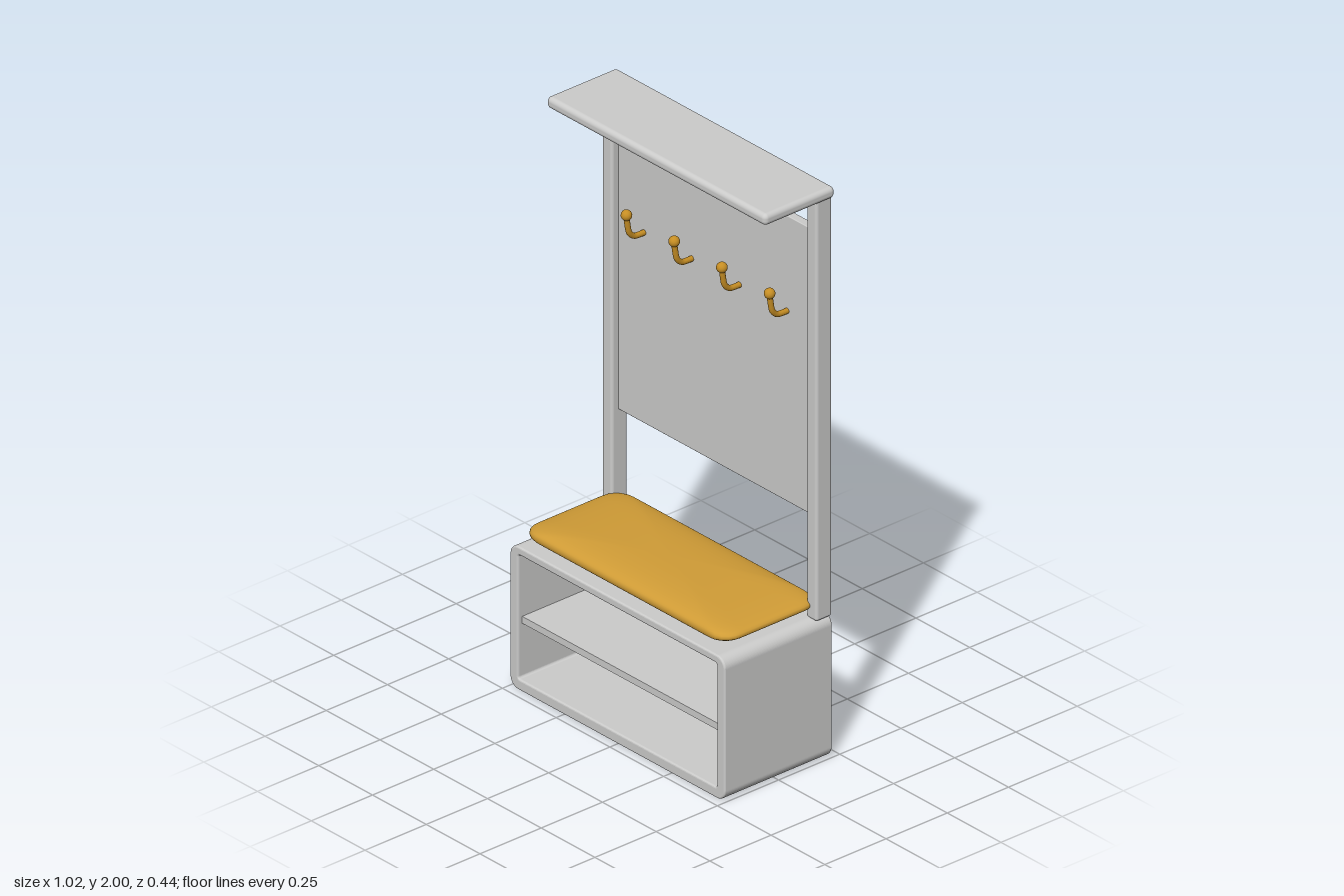
import * as THREE from 'three';
import { RoundedBoxGeometry } from 'three/addons/geometries/RoundedBoxGeometry.js';

const grey = new THREE.MeshStandardMaterial({ name: 'paintedGrey', color: 0xcccccb });
const ochre = new THREE.MeshStandardMaterial({ name: 'ochreFabric', color: 0xd09c36 });
const brass = new THREE.MeshStandardMaterial({ name: 'brass', color: 0xc68e24 });

function roundRect(path, x0, y0, x1, y1, r) {
  path.moveTo(x0 + r, y0);
  path.lineTo(x1 - r, y0);
  path.absarc(x1 - r, y0 + r, r, -Math.PI / 2, 0);
  path.lineTo(x1, y1 - r);
  path.absarc(x1 - r, y1 - r, r, 0, Math.PI / 2);
  path.lineTo(x0 + r, y1);
  path.absarc(x0 + r, y1 - r, r, Math.PI / 2, Math.PI);
  path.lineTo(x0, y0 + r);
  path.absarc(x0 + r, y0 + r, r, Math.PI, Math.PI * 1.5);
  return path;
}

// Pillow: rounded-rectangle rings that shrink towards the top and bottom
function cushionGeometry(hx, hy, hz, corner) {
  const outline = roundRect(new THREE.Path(), -hx, -hz, hx, hz, corner).getSpacedPoints(120);
  const n = outline.length - 1, rings = 28, pos = [], idx = [];
  for (let i = 0; i <= rings; i++) {
    const a = -Math.PI / 2 + (Math.PI * i) / rings;
    const s = Math.pow(Math.max(Math.cos(a), 0), 0.8);
    const y = hy * Math.sign(a) * Math.pow(Math.abs(Math.sin(a)), 0.8);
    for (let j = 0; j < n; j++) pos.push(outline[j].x * s, y, -outline[j].y * s);
  }
  for (let i = 0; i < rings; i++) {
    for (let j = 0; j < n; j++) {
      const k = (j + 1) % n;
      const a = i * n + j, b = i * n + k, c = a + n, d = b + n;
      idx.push(a, b, d, a, d, c);
    }
  }
  const g = new THREE.BufferGeometry();
  g.setAttribute('position', new THREE.Float32BufferAttribute(pos, 3));
  g.setIndex(idx);
  g.computeVertexNormals();
  return g;
}

export function createModel() {
  const group = new THREE.Group();
  group.name = 'hallBench';
  const add = (name, geometry, material, x = 0, y = 0, z = 0, parent = group) => {
    const mesh = new THREE.Mesh(geometry, material);
    mesh.name = name;
    mesh.position.set(x, y, z);
    parent.add(mesh);
    return mesh;
  };

  // Bench carcass: rounded frame open to the front
  const bevel = 0.006;
  const frame = roundRect(new THREE.Shape(), -0.5 + bevel, bevel, 0.5 - bevel, 0.5 - bevel, 0.032);
  frame.holes.push(roundRect(new THREE.Path(), -0.468, 0.032, 0.468, 0.478, 0.014));
  const carcass = new THREE.ExtrudeGeometry(frame, {
    depth: 0.44 - 2 * bevel, bevelThickness: bevel, bevelSize: bevel, bevelSegments: 3, curveSegments: 8,
  });
  add('benchFrame', carcass, grey, 0, 0, -0.22 + bevel);
  add('benchBack', new THREE.BoxGeometry(0.938, 0.45, 0.015), grey, 0, 0.255, -0.2075);
  add('benchShelf', new THREE.BoxGeometry(0.936, 0.024, 0.405), grey, 0, 0.238, 0.0);

  // Seat cushion
  add('cushion', cushionGeometry(0.475, 0.04, 0.198, 0.065), ochre, 0, 0.54, 0);

  // Posts, back panel and hat shelf
  for (const side of [-1, 1]) {
    add(side > 0 ? 'leftPost' : 'rightPost',
      new RoundedBoxGeometry(0.048, 1.475, 0.065, 4, 0.01), grey, side * 0.476, 1.2325, -0.1875);
  }
  add('backPanel', new RoundedBoxGeometry(0.91, 1.0, 0.03, 2, 0.003), grey, 0, 1.34, -0.197);
  add('hatShelf', new RoundedBoxGeometry(1.02, 0.04, 0.288, 5, 0.016), grey, 0, 1.98, -0.08);

  // Coat hooks: bent rods with ball tips
  const bend = new THREE.CatmullRomCurve3([
    [1.508, -0.19], [1.508, -0.16], [1.511, -0.14], [1.528, -0.122], [1.56, -0.114], [1.592, -0.11],
  ].map(([y, z]) => new THREE.Vector3(0, y, z)));
  const rod = new THREE.TubeGeometry(bend, 24, 0.0095, 12);
  const ball = new THREE.SphereGeometry(0.018, 20, 14);
  for (let i = 0; i < 4; i++) {
    const hook = new THREE.Group();
    hook.name = 'coatHook' + (i + 1);
    hook.position.x = -0.333 + i * 0.222;
    add('hookRod', rod, brass, 0, 0, 0, hook);
    add('hookBall', ball, brass, 0, 1.594, -0.11, hook);
    group.add(hook);
  }
  return group;
}
